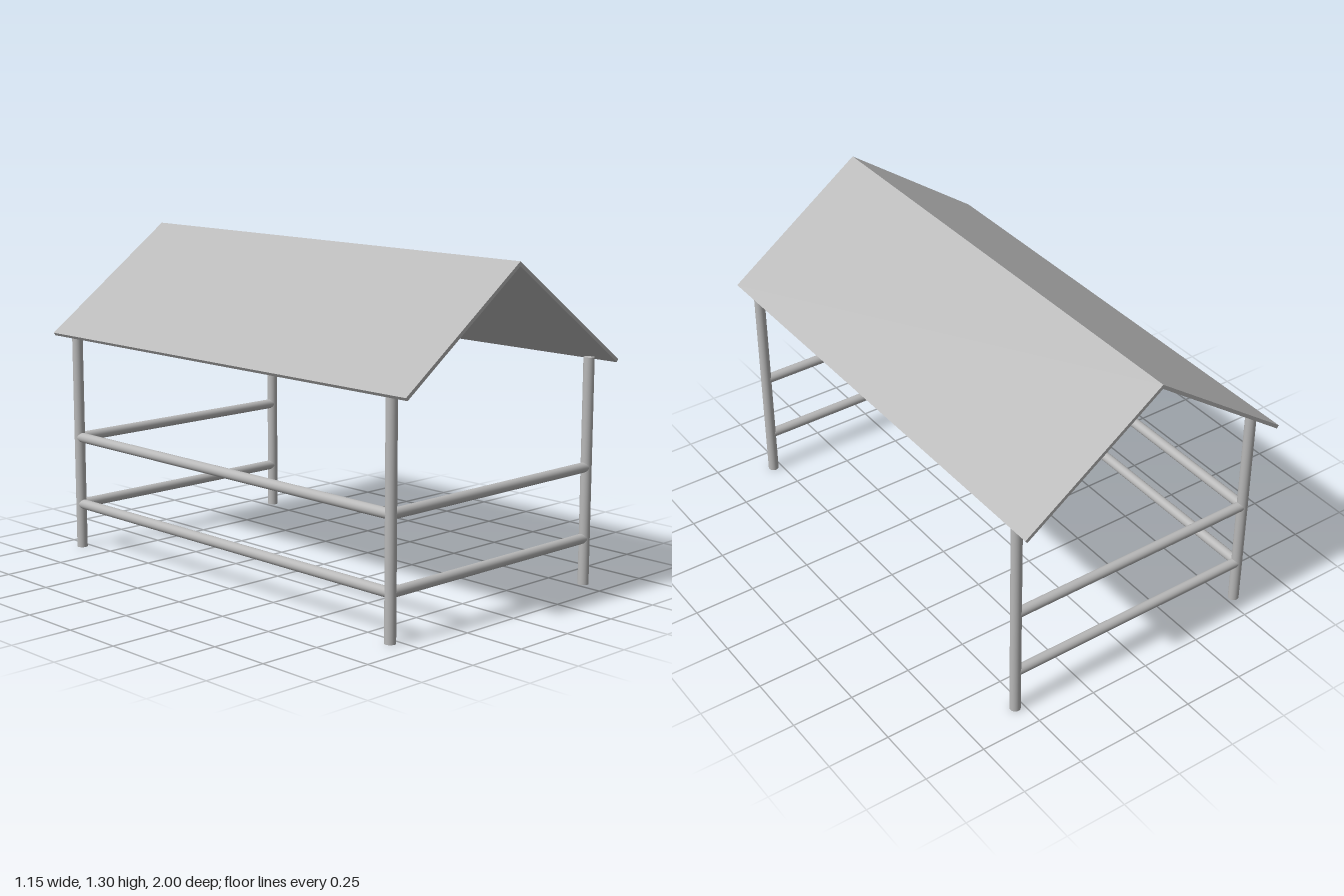
import * as THREE from 'three';

export function createModel() {
  const group = new THREE.Group();
  const grey = new THREE.MeshStandardMaterial({ color: 0xb8b8b8 });
  grey.name = 'grey';

  const X = 0.534, Z = 0.894;            // post axes
  const POST_R = 0.0213, RAIL_R = 0.02;

  const add = (name, geometry, parent = group) => {
    const mesh = new THREE.Mesh(geometry, grey);
    mesh.name = name;
    parent.add(mesh);
    return mesh;
  };

  // four round corner posts
  const postHeight = 0.89;
  for (const sx of [-1, 1]) {
    for (const sz of [-1, 1]) {
      const post = add('post', new THREE.CylinderGeometry(POST_R, POST_R, postHeight, 32));
      post.position.set(sx * X, postHeight / 2, sz * Z);
    }
  }

  // two rails on the front, the back and one long side; the other side is open
  for (const y of [0.183, 0.464]) {
    for (const [name, z] of [['frontRail', Z], ['backRail', -Z]]) {
      const rail = add(name, new THREE.CylinderGeometry(RAIL_R, RAIL_R, 2 * X, 32));
      rail.rotation.z = Math.PI / 2;
      rail.position.set(0, y, z);
    }
    const side = add('sideRail', new THREE.CylinderGeometry(RAIL_R, RAIL_R, 2 * Z, 32));
    side.rotation.x = Math.PI / 2;
    side.position.set(-X, y, 0);
  }

  // thin gable roof: two sloping panels mitred at the ridge
  const ridgeY = 1.304, eaveX = 0.575, eaveY = 0.89, thick = 0.014;
  const angle = Math.atan2(ridgeY - eaveY, eaveX);
  const dx = thick * Math.sin(angle), dy = thick * Math.cos(angle);
  for (const [name, s] of [['rightRoofPanel', -1], ['leftRoofPanel', 1]]) {
    const section = new THREE.Shape([
      new THREE.Vector2(0, ridgeY),
      new THREE.Vector2(s * eaveX, eaveY),
      new THREE.Vector2(s * (eaveX - dx), eaveY - dy),
      new THREE.Vector2(0, ridgeY - thick / Math.cos(angle)),
    ]);
    const geometry = new THREE.ExtrudeGeometry(section, { depth: 2, bevelEnabled: false });
    geometry.translate(0, 0, -1);
    add(name, geometry);
  }

  return group;
}
